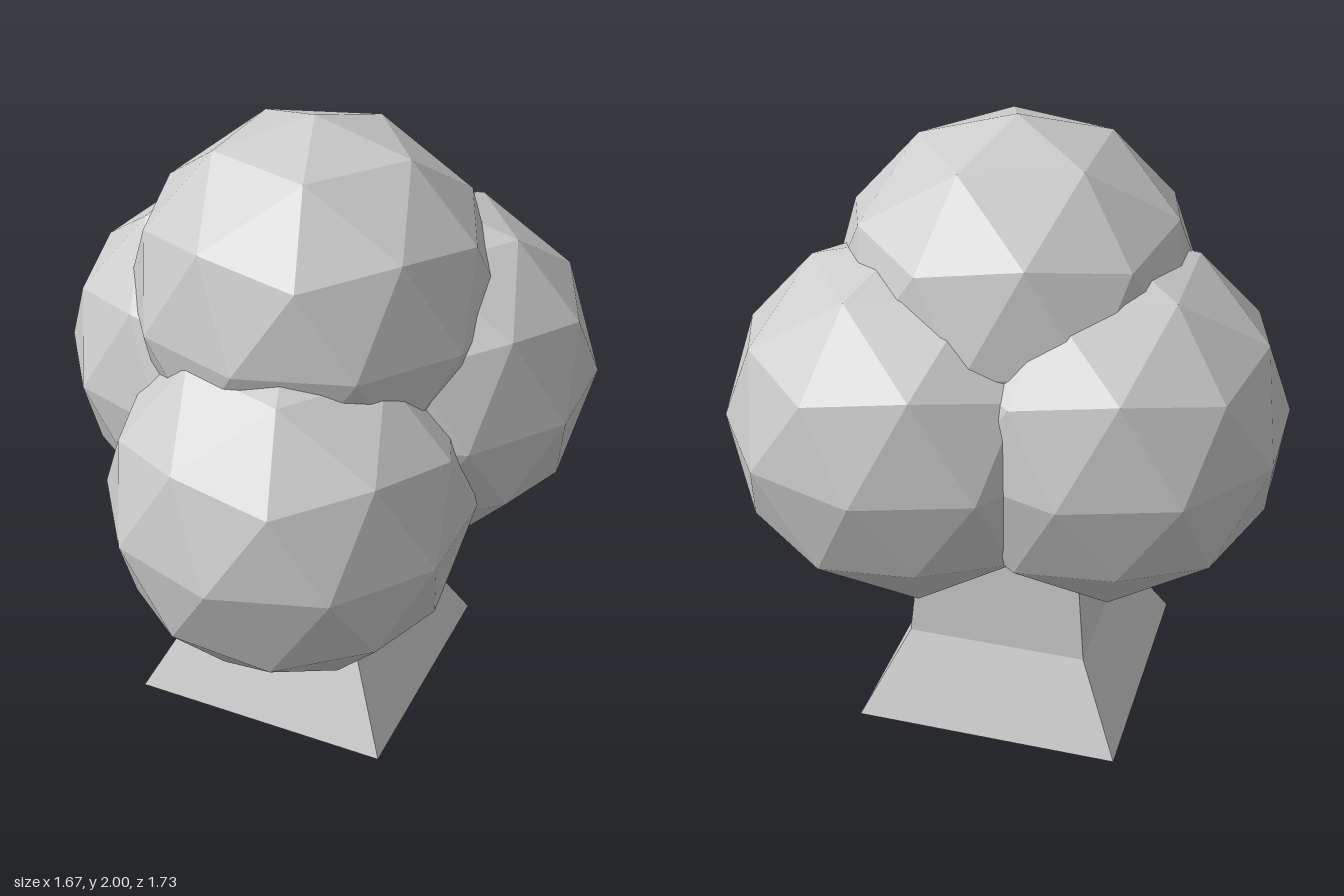
import * as THREE from 'three';

const material = new THREE.MeshStandardMaterial({ color: 0xcccccc, flatShading: true });

// Square tapering prism between two heights, given half-widths
function taper(name, y0, half0, y1, half1, openEnded) {
  const geo = new THREE.CylinderGeometry(half1 * Math.SQRT2, half0 * Math.SQRT2, y1 - y0, 4, 1, openEnded);
  geo.rotateY(Math.PI / 4);
  geo.translate(0, (y0 + y1) / 2, 0);
  const mesh = new THREE.Mesh(geo, material);
  mesh.name = name;
  return mesh;
}

export function createModel() {
  const tree = new THREE.Group();
  tree.name = 'tree';

  // Trunk: flared square foot under a slimmer stem
  const trunk = new THREE.Group();
  trunk.name = 'trunk';
  trunk.position.set(0.015, 0, -0.035);
  trunk.add(taper('trunkFoot', 0, 0.435, 0.28, 0.295, false));
  trunk.add(taper('trunkStem', 0.28, 0.295, 0.9, 0.235, false));
  tree.add(trunk);

  // Foliage: equal faceted balls, each with a corner pointing straight up
  const ball = new THREE.IcosahedronGeometry(0.58, 1);
  ball.rotateZ(-Math.atan(2 / (1 + Math.sqrt(5))));
  const clumps = {
    foliageTop: [0.02, 1.42, -0.035],
    foliageFront: [0.085, 0.885, 0.287],
    foliageBackLeft: [0.28, 1.105, -0.288],
    foliageRight: [-0.283, 1.105, -0.15],
  };
  for (const [name, position] of Object.entries(clumps)) {
    const mesh = new THREE.Mesh(ball, material);
    mesh.name = name;
    mesh.position.set(...position);
    tree.add(mesh);
  }
  return tree;
}
